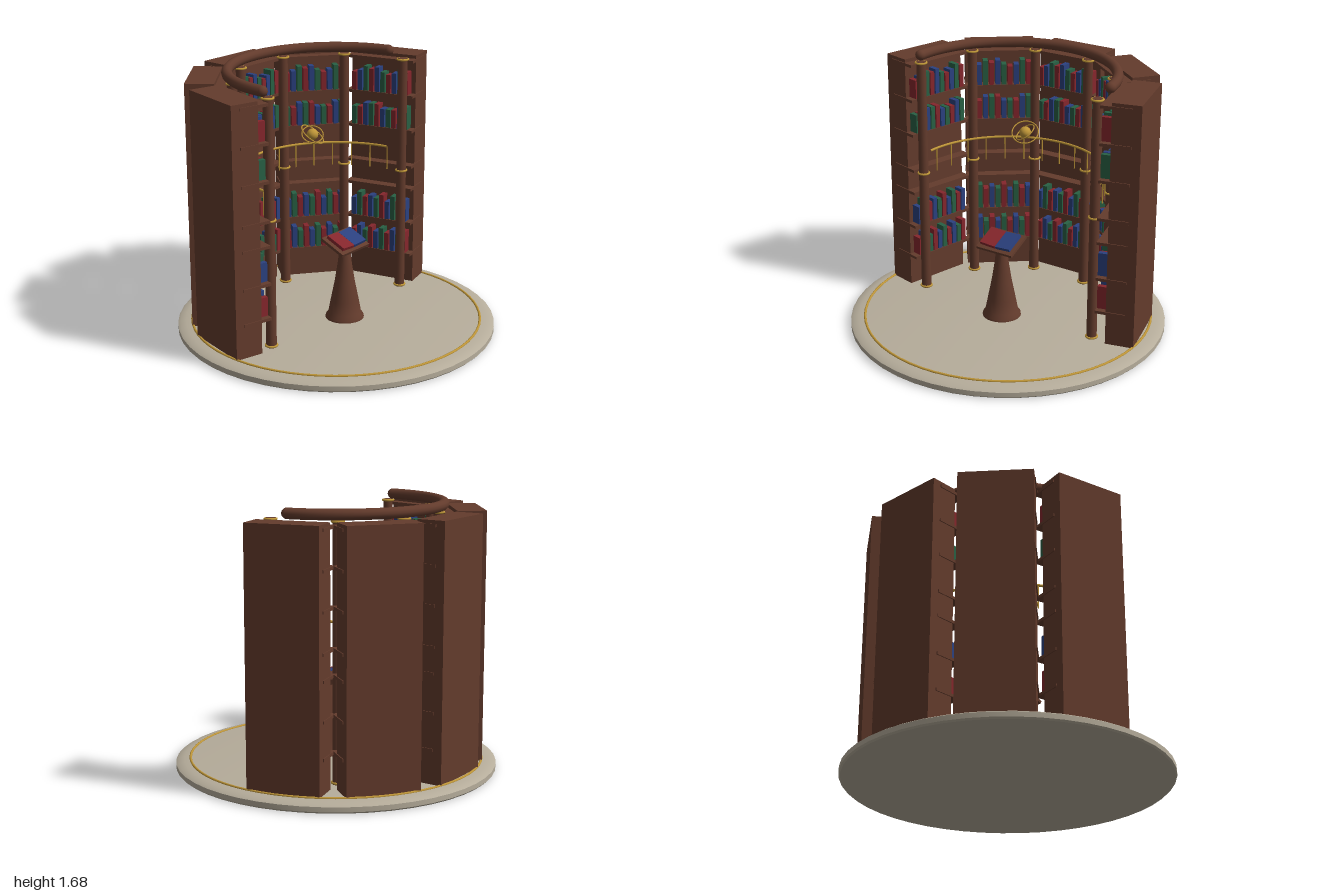
import * as THREE from 'three';
import { toCreasedNormals } from 'three/addons/utils/BufferGeometryUtils.js';

const mat = (name, color) => {
  const m = new THREE.MeshStandardMaterial({ color });
  m.name = name;
  return m;
};
const rad = THREE.MathUtils.degToRad;

export function createModel() {
  const model = new THREE.Group();
  model.name = 'roundLibrary';
  const stone = mat('stone', 0xb6ad9b);
  const wood = mat('wood', 0x633b2c);
  const gold = mat('gold', 0xbf9638);
  const red = mat('red', 0x85262c);
  const blue = mat('blue', 0x2b4180);
  const green = mat('green', 0x286044);
  const covers = [red, blue, green];

  const add = (parent, name, geo, material, x = 0, y = 0, z = 0) => {
    const mesh = new THREE.Mesh(geo, material);
    mesh.name = name;
    mesh.position.set(x, y, z);
    parent.add(mesh);
    return mesh;
  };
  const lathe = (pts, seg) => toCreasedNormals(
    new THREE.LatheGeometry(pts.map(p => new THREE.Vector2(...p)), seg), 0.6);
  // Horizontal ring or arc; angles run from +x round the back to -x
  const ring = (r, tube, seg, from = 0, to = 360) =>
    new THREE.TorusGeometry(r, tube, 8, seg, rad(to - from)).rotateZ(rad(from)).rotateX(-Math.PI / 2);
  // Position at an angle measured from the back (-z) towards +x
  const around = (r, deg) => [Math.sin(rad(deg)) * r, -Math.cos(rad(deg)) * r];

  // Floor
  add(model, 'floor', lathe([[0, 0], [0.99, 0], [1, 0.01], [1, 0.04], [0.985, 0.049],
    [0.95, 0.057], [0.91, 0.062], [0, 0.062]], 48), stone);
  add(model, 'floorRing', ring(0.91, 0.008, 64), gold, 0, 0.063);

  // Bookcases with shelves and books
  const shelfY = [0.27, 0.49, 0.725, 0.88, 1.12, 1.35, 1.58];
  const bookRows = [0.28, 0.5, 1.13, 1.36];
  const caseGeo = new THREE.BoxGeometry(0.45, 1.55, 0.178);
  const shelfGeo = new THREE.BoxGeometry(0.462, 0.018, 0.19);
  for (const deg of [-76, -38, 0, 38, 76]) {
    const bay = new THREE.Group();
    bay.name = 'bookcase';
    bay.rotation.y = -rad(deg);
    model.add(bay);
    add(bay, 'caseBody', caseGeo, wood, 0, 0.835, -0.799);
    for (const y of shelfY) add(bay, 'shelf', shelfGeo, wood, 0, y, -0.737);
    bookRows.forEach((y, row) => {
      for (let i = 0; i < 10; i++) {
        const h = 0.12 + 0.014 * ((i * 2 + (i % 3 ? row : 0)) % 4);
        add(bay, 'book', new THREE.BoxGeometry(0.031, h, 0.07), covers[(i + row) % 3],
          (i - 4.5) * 0.04, y + h / 2, -0.68);
      }
    });
  }

  // Columns with gold collars
  const columnGeo = new THREE.CylinderGeometry(0.03, 0.032, 1.55, 16);
  const collarGeo = ring(0.034, 0.007, 20);
  for (const deg of [-92, -55, -18, 18, 55, 92]) {
    const [x, z] = around(0.635, deg);
    add(model, 'column', columnGeo, wood, x, 0.835, z);
    for (const y of [0.072, 0.868, 1.603]) add(model, 'collar', collarGeo, gold, x, y, z);
  }

  // Curved cornice with rounded ends
  add(model, 'cornice', new THREE.TorusGeometry(0.655, 0.033, 12, 40, rad(171))
    .rotateZ(rad(9)).rotateX(-Math.PI / 2), wood, 0, 1.643);
  for (const deg of [81, -90]) {
    const [x, z] = around(0.655, deg);
    add(model, 'corniceEnd', new THREE.SphereGeometry(0.033, 12, 10), wood, x, 1.643, z);
  }

  // Gallery railing
  add(model, 'railing', ring(0.595, 0.008, 40, 6.2, 180), gold, 0, 1.02);
  const postGeo = new THREE.CylinderGeometry(0.004, 0.004, 0.15, 8);
  for (let deg = -84; deg <= 84; deg += 12) {
    const [x, z] = around(0.595, deg);
    add(model, 'railingPost', postGeo, gold, x, 0.943, z);
  }

  // Lectern: flared stand, sloping board and open book
  add(model, 'lecternStand', lathe([[0, 0.062], [0.122, 0.062], [0.12, 0.075], [0.103, 0.1],
    [0.088, 0.18], [0.064, 0.3], [0.045, 0.42], [0.036, 0.5], [0.05, 0.525], [0.058, 0.54], [0, 0.55]], 24),
    wood, 0, 0, 0.07);
  const desk = new THREE.Group();
  desk.name = 'lecternDesk';
  desk.position.set(0, 0.562, 0.073);
  desk.rotation.x = 0.4;
  model.add(desk);
  add(desk, 'board', new THREE.BoxGeometry(0.262, 0.018, 0.185), wood);
  for (const s of [-1, 1]) {
    const page = add(desk, 'openBookHalf', new THREE.BoxGeometry(0.108, 0.02, 0.14),
      s < 0 ? red : blue, s * 0.055, 0.022, 0);
    page.rotation.z = s * 0.08;
  }

  // Floating globe with two tilted rings
  const globe = new THREE.Group();
  globe.name = 'globe';
  globe.position.set(0, 1.21, -0.19);
  model.add(globe);
  add(globe, 'globeBall', new THREE.SphereGeometry(0.036, 20, 14), gold);
  const outer = add(globe, 'outerRing', ring(0.082, 0.004, 40), gold);
  outer.rotation.set(0.6, 0, -0.25);
  const inner = add(globe, 'innerRing', ring(0.066, 0.004, 36), gold);
  inner.rotation.set(0.5, 0, 0.4);

  return model;
}
